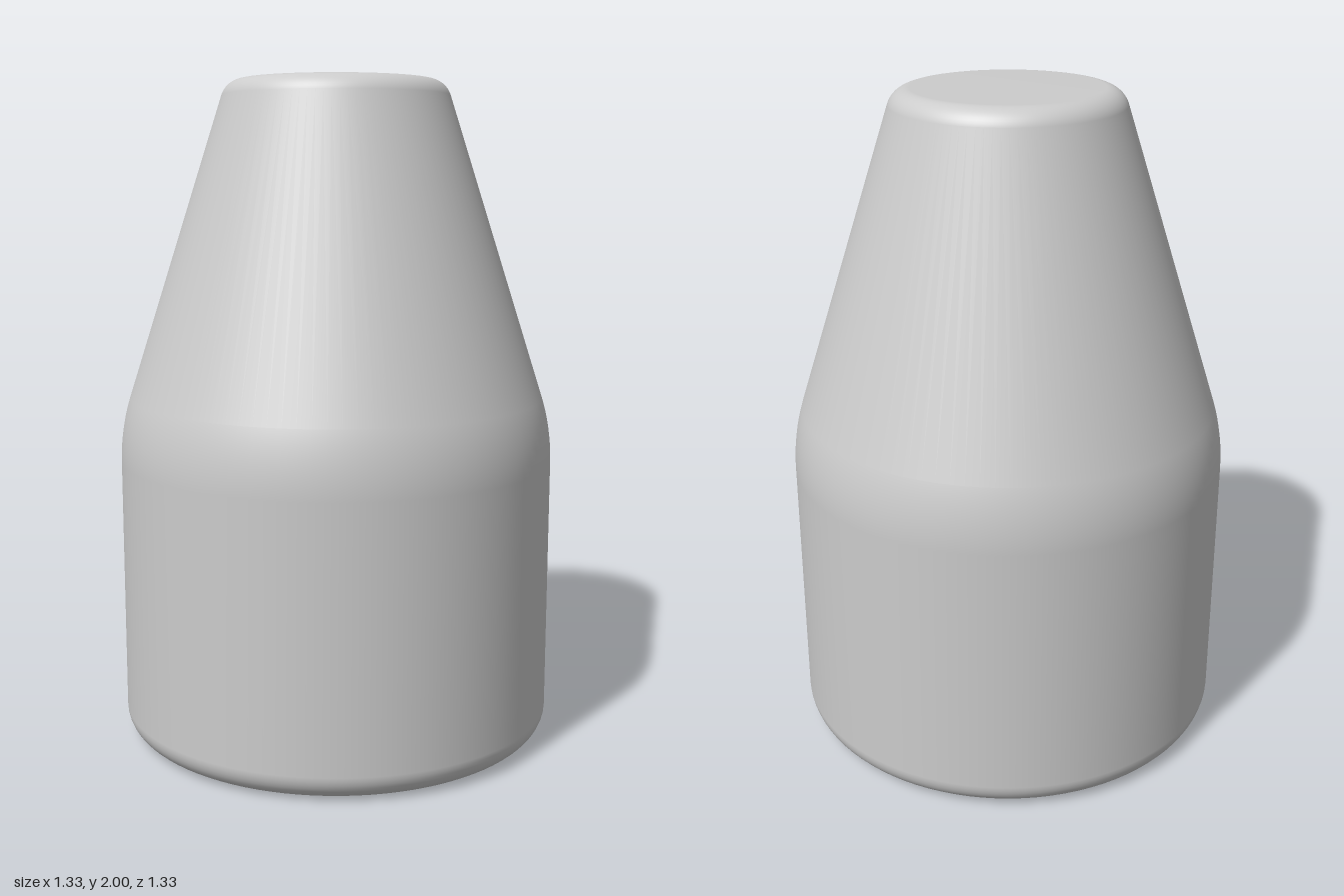
import * as THREE from 'three';

// Points of a circular fillet at corner b between a and c
function fillet(a, b, c, radius, steps) {
  const u = a.clone().sub(b).normalize();
  const v = c.clone().sub(b).normalize();
  const half = Math.acos(u.dot(v)) / 2;
  const centre = u.clone().add(v).normalize().multiplyScalar(radius / Math.sin(half)).add(b);
  const start = u.multiplyScalar(radius / Math.tan(half)).add(b).sub(centre);
  const turn = Math.PI - 2 * half; // the profile turns anticlockwise at every corner
  return Array.from({ length: steps + 1 }, (_, i) =>
    start.clone().rotateAround(new THREE.Vector2(), (turn * i) / steps).add(centre));
}

export function createModel() {
  const group = new THREE.Group();
  group.name = 'taperedBody';

  // Sharp outline from the bottom centre to the top centre: radius, height
  const corners = [[0, 0], [0.663, 0], [0.663, 0.955], [0.328, 2], [0, 2]]
    .map(([r, y]) => new THREE.Vector2(r, y));
  const radii = [0, 0.08, 0.63, 0.068, 0];

  // Round the base rim, the shoulder and the top rim
  const profile = [corners[0]];
  for (let i = 1; i < corners.length - 1; i++) {
    profile.push(...fillet(corners[i - 1], corners[i], corners[i + 1], radii[i], 10));
  }
  profile.push(corners[4]);

  const body = new THREE.Mesh(
    new THREE.LatheGeometry(profile, 96),
    new THREE.MeshStandardMaterial({ color: 0xcccccc })
  );
  body.name = 'body';
  group.add(body);
  return group;
}
